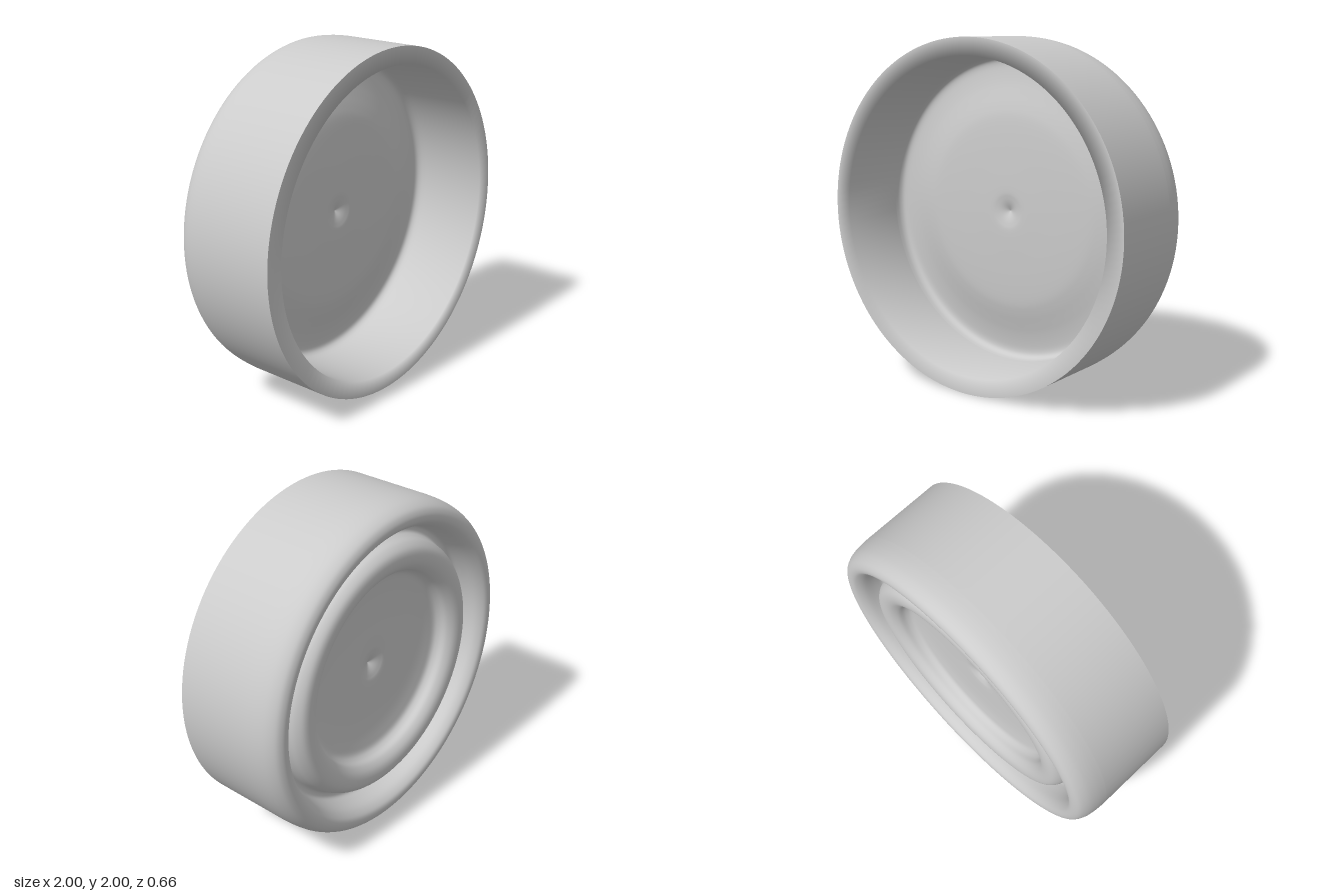
import * as THREE from 'three';

const material = new THREE.MeshStandardMaterial({ color: 0xcccccc });
const SEGMENTS = 128;

// Smooth curve through [radius, z] pairs
function smooth(pairs, perSpan = 5) {
  const curve = new THREE.SplineCurve(pairs.map(([r, z]) => new THREE.Vector2(r, z)));
  return curve.getPoints((pairs.length - 1) * perSpan)
    .map((p) => new THREE.Vector2(Math.max(p.x, 0), p.y));
}

// Surface of revolution around the z axis
function revolve(name, points) {
  const geometry = new THREE.LatheGeometry(points, SEGMENTS);
  geometry.rotateX(Math.PI / 2);
  const mesh = new THREE.Mesh(geometry, material);
  mesh.name = name;
  return mesh;
}

export function createModel() {
  const group = new THREE.Group();
  group.name = 'cap';

  // Back face: dimpled centre, raised ring, narrow groove, rounded shoulder
  const back = smooth([
    [0, -0.12], [0.04, -0.14], [0.08, -0.152], [0.13, -0.158], [0.3, -0.162], [0.42, -0.167],
    [0.5, -0.175], [0.55, -0.185], [0.575, -0.21], [0.592, -0.25], [0.628, -0.28], [0.675, -0.29],
    [0.72, -0.28], [0.753, -0.245], [0.768, -0.2], [0.78, -0.172], [0.8, -0.165],
    [0.82, -0.175], [0.833, -0.215], [0.85, -0.28], [0.877, -0.318], [0.905, -0.33],
    [0.935, -0.326], [0.963, -0.307], [0.985, -0.265], [0.996, -0.21], [1, -0.15],
  ]);
  // Straight outer wall up to the open edge
  back.push(new THREE.Vector2(1, -0.1), new THREE.Vector2(1, 0.33));
  group.add(revolve('outerShell', back));

  // Flat rim, straight inner wall, tight fillet and gently domed, dimpled floor
  const inside = [new THREE.Vector2(1, 0.33), new THREE.Vector2(0.9, 0.33)];
  inside.push(...smooth([
    [0.892, -0.07], [0.887, -0.1], [0.872, -0.121], [0.845, -0.128],
    [0.8, -0.124], [0.74, -0.113], [0.68, -0.098], [0.61, -0.08], [0.54, -0.067],
    [0.42, -0.058], [0.28, -0.052], [0.13, -0.048], [0.08, -0.052], [0.04, -0.062], [0, -0.08],
  ]));
  group.add(revolve('rimAndInterior', inside));

  // Stand the disc on the ground
  group.children.forEach((mesh) => { mesh.position.y = 1; });
  return group;
}
